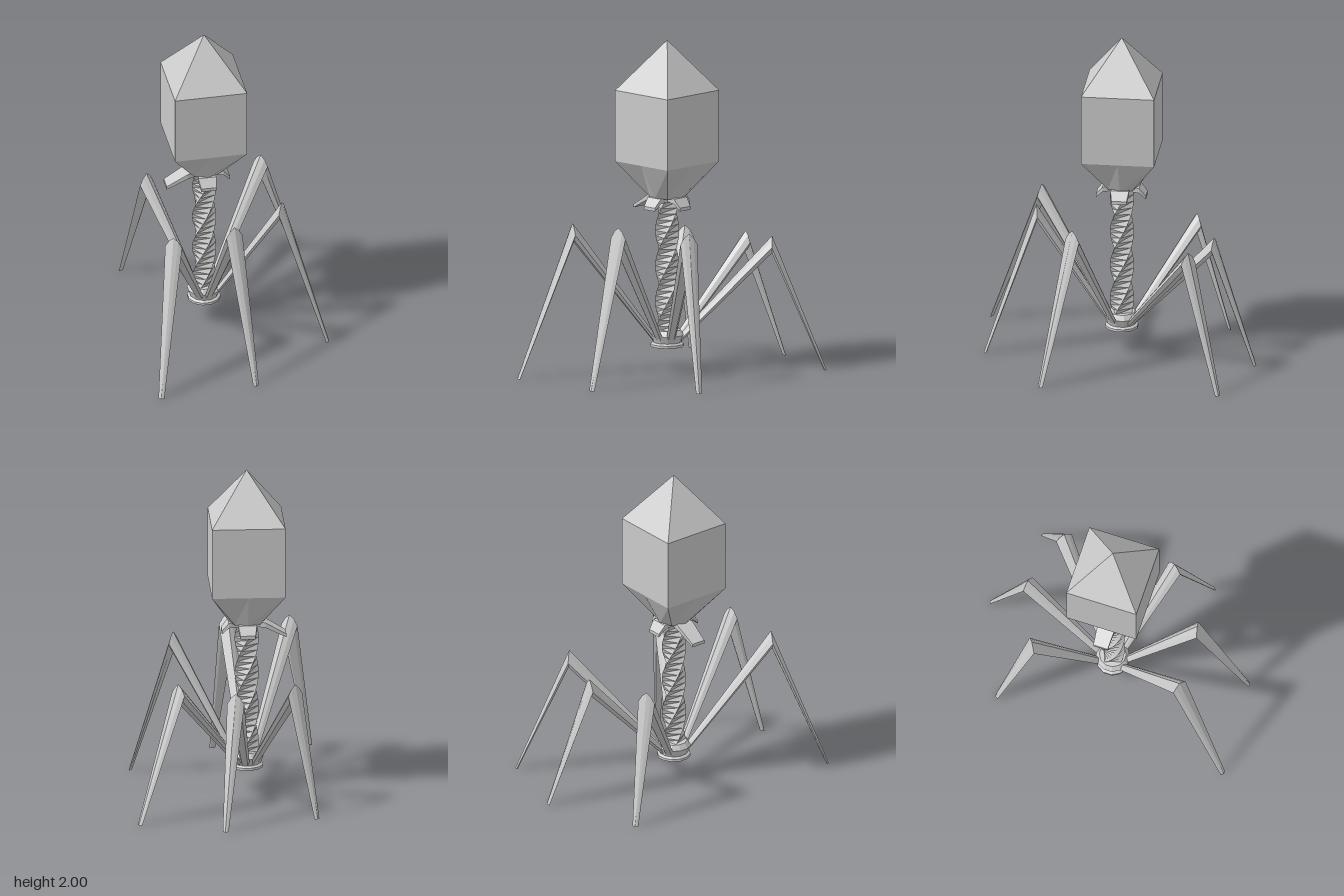
import * as THREE from 'three';

const CX = -0.035, CZ = 0.025; // central axis
const material = new THREE.MeshStandardMaterial({ color: 0xcccccc, flatShading: true });

// Skin a list of rings (arrays of Vector3, counterclockwise about the direction of travel) and cap both ends
function loft(name, rings) {
  const n = rings[0].length, pos = [], idx = [];
  rings.forEach(r => r.forEach(p => pos.push(p.x, p.y, p.z)));
  for (let k = 0; k < rings.length - 1; k++) {
    for (let i = 0; i < n; i++) {
      const j = (i + 1) % n, a = k * n, b = a + n;
      idx.push(a + i, a + j, b + j, a + i, b + j, b + i);
    }
  }
  const last = (rings.length - 1) * n;
  for (let i = 1; i < n - 1; i++) {
    idx.push(0, i + 1, i);
    idx.push(last, last + i, last + i + 1);
  }
  const indexed = new THREE.BufferGeometry();
  indexed.setAttribute('position', new THREE.Float32BufferAttribute(pos, 3));
  indexed.setIndex(idx);
  const geometry = indexed.toNonIndexed();
  geometry.computeVertexNormals();
  const mesh = new THREE.Mesh(geometry, material);
  mesh.name = name;
  return mesh;
}

// Horizontal ring around the central axis
function ring(n, r, y, turn = 0) {
  return Array.from({ length: n }, (_, i) => {
    const a = turn + (i / n) * Math.PI * 2;
    const rad = typeof r === 'function' ? r(i) : r;
    return new THREE.Vector3(CX + rad * Math.sin(a), y, CZ + rad * Math.cos(a));
  });
}

// Cross-section at p: half widths along side, depths along inward
function section(profile, p, side, inward, w, d) {
  return profile.map(([u, v]) => p.clone().addScaledVector(side, u * w).addScaledVector(inward, v * d));
}

const DOWN = new THREE.Vector3(0, -1, 0);
const LEG_PROFILE = [[0, 0], [0.55, 0.25], [1, 0.65], [0.6, 1], [-0.6, 1], [-1, 0.65], [-0.55, 0.25]];
const STRIP = [[1, 0], [1, 1], [-1, 1], [-1, 0]];

function leg(name, kx, ky, kz, fx, fz) {
  const dir = new THREE.Vector3(kx - CX, 0, kz - CZ).normalize();
  const out = new THREE.Vector3(fx - kx, 0, fz - kz).normalize();
  const hip = new THREE.Vector3(CX, 0.21, CZ).addScaledVector(dir, 0.07);
  const side = d => new THREE.Vector3(-d.z, 0, d.x);
  const kneeSide = side(dir.clone().add(out).normalize());
  return loft(name, [
    section(LEG_PROFILE, hip, side(dir), DOWN, 0.026, 0.05),
    section(LEG_PROFILE, new THREE.Vector3(kx, ky, kz), kneeSide, DOWN, 0.052, 0.1),
    section(LEG_PROFILE, new THREE.Vector3(fx, 0, fz), side(out), out.clone().negate(), 0.018, 0.015),
  ]);
}

function petal(angle, reach, tipY) {
  const dir = new THREE.Vector3(Math.cos(angle), 0, Math.sin(angle));
  const side = new THREE.Vector3(-dir.z, 0, dir.x);
  const at = (r, y, w, d) =>
    section(STRIP, new THREE.Vector3(CX, y, CZ).addScaledVector(dir, r), side, DOWN, w, d);
  return loft('collarPetal', [
    at(0.04, 1.065, 0.04, 0.035),
    at(0.11, 1.055, 0.055, 0.03),
    at(reach, tipY + 0.02, 0.045, 0.02),
  ]);
}

export function createModel() {
  const model = new THREE.Group();
  model.name = 'model';

  // Head: square prism with a pointed top, tapering below to a rounder neck
  const square = i => (i % 2 ? 0.31 * Math.SQRT1_2 : 0.31);
  model.add(loft('head', [
    ring(8, 0.105, 1.05), ring(8, square, 1.265), ring(8, square, 1.695), ring(8, 0, 2),
  ]));

  // Collar: four drooping petals, one longer
  const collar = new THREE.Group();
  collar.name = 'collar';
  for (let i = 0; i < 4; i++) {
    collar.add(petal(Math.PI * (0.25 + i * 0.5), i === 1 ? 0.235 : 0.15, i === 1 ? 0.96 : 0.985));
  }
  model.add(collar);

  // Twisted tail
  const steps = 24, tail = [];
  for (let k = 0; k <= steps; k++) {
    const t = k / steps;
    tail.push(ring(4, 0.072, 0.2 + 0.86 * t, t * Math.PI * 2));
  }
  model.add(loft('tail', tail));

  // Base plate with a waisted rim
  model.add(loft('basePlate', [
    ring(12, 0.1, 0.145), ring(12, 0.1, 0.16), ring(12, 0.085, 0.17),
    ring(12, 0.102, 0.215), ring(12, 0.08, 0.245),
  ]));

  // Six jointed legs: knee x, y, z and foot x, z
  const legs = [
    [-0.045, 0.81, -0.6, -0.02, -0.925],
    [-0.365, 0.78, -0.445, -0.495, -0.685],
    [-0.52, 0.785, -0.085, -0.74, -0.13],
    [0.44, 0.915, -0.1, 0.738, -0.16],
    [0.38, 0.94, 0.32, 0.65, 0.485],
    [0.125, 0.92, 0.59, 0.255, 0.92],
  ];
  legs.forEach((l, i) => model.add(leg('leg' + (i + 1), ...l)));
  return model;
}
